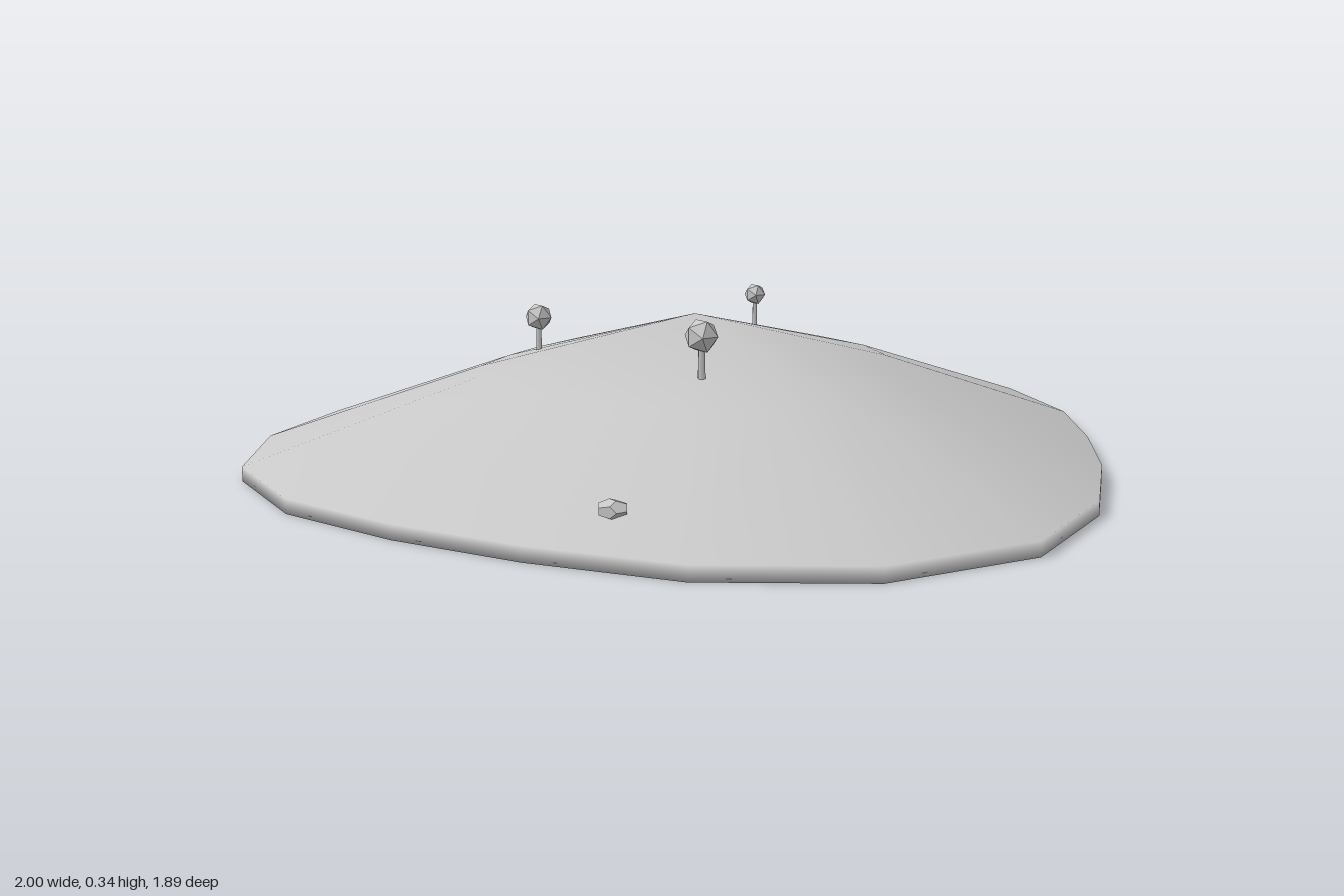
import * as THREE from 'three';

const CENTER_X = -0.04;
const SIDES = 20;
// shoreline radius every 18 degrees, from +x towards +z
const RADII = [1.04, 1.053, 0.996, 0.926, 0.912, 0.945, 0.958, 0.923, 0.874, 0.878,
  0.94, 1.013, 1.044, 1.032, 0.996, 0.95, 0.893, 0.852, 0.872, 0.949];
// rings from base edge to upper slope: [radius scale, height]
const RINGS = [[1, 0], [1, 0.03], [0.5, 0.185]];

// Smooth mound: rings closed by a peak point and a base point
function moundGeometry() {
  const pos = [];
  const index = [];
  for (const [scale, y] of RINGS) {
    RADII.forEach((r, i) => {
      const a = (i / SIDES) * Math.PI * 2;
      pos.push(CENTER_X + Math.cos(a) * r * scale, y, Math.sin(a) * r * scale);
    });
  }
  const peak = RINGS.length * SIDES;
  const base = peak + 1;
  pos.push(CENTER_X, 0.3, 0, CENTER_X, 0, 0);
  const top = (RINGS.length - 1) * SIDES;
  for (let i = 0; i < SIDES; i++) {
    const j = (i + 1) % SIDES;
    index.push(base, i, j, peak, top + j, top + i);
    for (let k = 0; k < RINGS.length - 1; k++) {
      const lo = k * SIDES;
      const hi = lo + SIDES;
      index.push(lo + i, hi + i, lo + j, lo + j, hi + i, hi + j);
    }
  }
  const geo = new THREE.BufferGeometry();
  geo.setAttribute('position', new THREE.Float32BufferAttribute(pos, 3));
  geo.setIndex(index);
  geo.computeVertexNormals();
  return geo;
}

function addMesh(parent, name, geometry, material, x = 0, y = 0, z = 0) {
  const mesh = new THREE.Mesh(geometry, material);
  mesh.name = name;
  mesh.position.set(x, y, z);
  parent.add(mesh);
  return mesh;
}

export function createModel() {
  const model = new THREE.Group();
  model.name = 'island';
  const grey = new THREE.MeshStandardMaterial({ color: 0xc8c8c8 });
  grey.name = 'light grey';

  addMesh(model, 'mound', moundGeometry(), grey);

  // Trees: x, crown height, z, crown radius
  const trees = [
    [0.245, 0.306, 0.185, 0.036],
    [-0.303, 0.28, 0.232, 0.031],
    [-0.19, 0.302, -0.275, 0.025],
  ];
  for (const [x, y, z, r] of trees) {
    const tree = new THREE.Group();
    tree.name = 'tree';
    tree.position.set(x, y, z);
    addMesh(tree, 'crown', new THREE.IcosahedronGeometry(r, 0), grey);
    const length = r * 3;
    addMesh(tree, 'trunk', new THREE.CylinderGeometry(r * 0.18, r * 0.25, length, 6), grey, 0, -length / 2, 0);
    model.add(tree);
  }

  // Flattened boulder near the shore
  const rock = addMesh(model, 'rock', new THREE.DodecahedronGeometry(0.031, 0), grey, 0.54, 0.077, 0.585);
  rock.scale.y = 0.6;

  return model;
}
